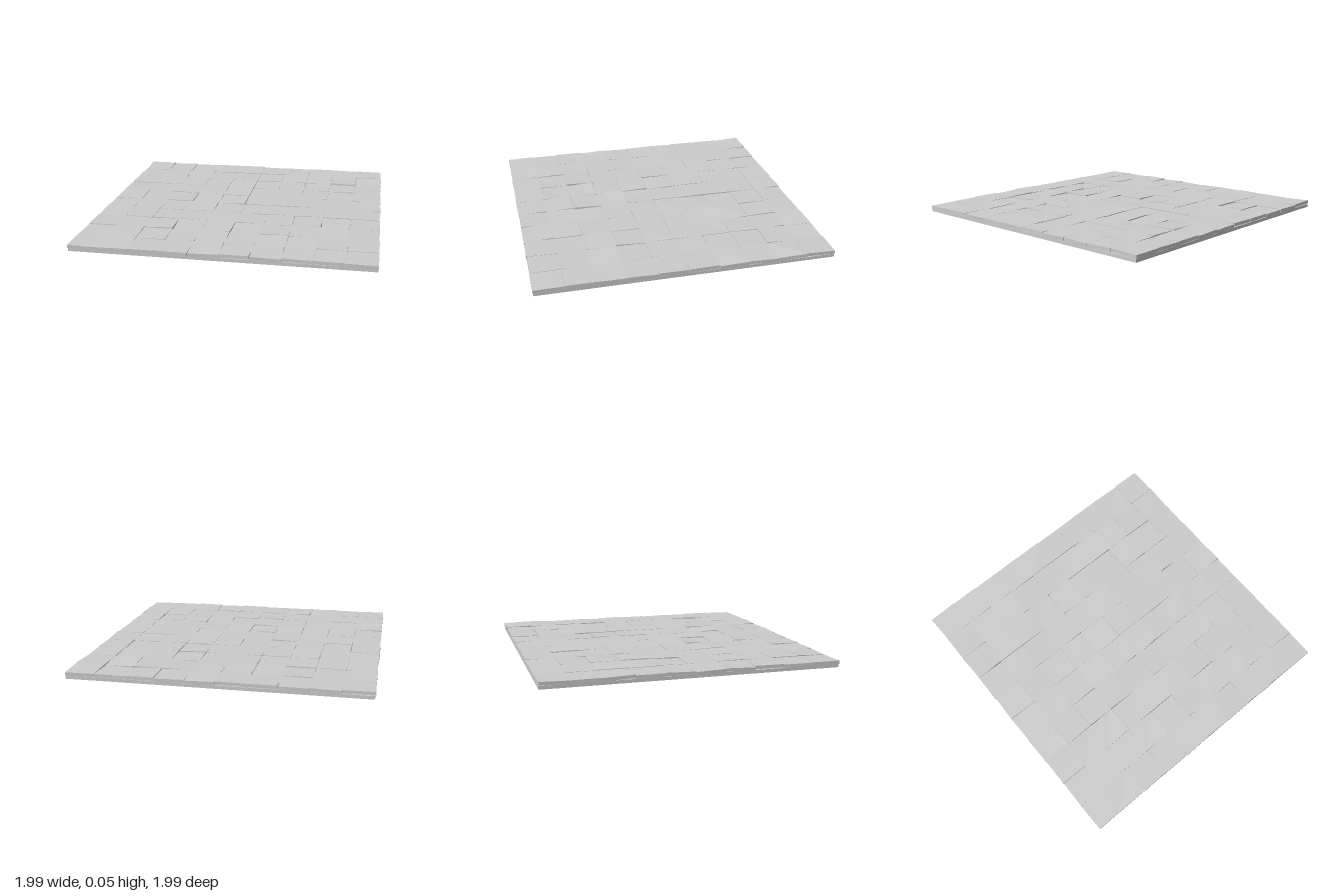
import * as THREE from 'three';

const COUNT = 10, PITCH = 0.198;

// Small seeded generator returning values in -1..1
function makeRandom(seed) {
  let s = seed;
  return () => {
    s = (s * 16807) % 2147483647;
    return (s / 2147483647) * 2 - 1;
  };
}

// Thin stone slab whose four corners are shifted and lifted unevenly
function makeTile(rand) {
  const box = new THREE.BoxGeometry(PITCH, 0.022, PITCH);
  const corners = Array.from({ length: 4 }, () => [rand() * 0.003, rand() * 0.003, rand() * 0.003]);
  const p = box.attributes.position;
  for (let i = 0; i < p.count; i++) {
    const x = p.getX(i), y = p.getY(i), z = p.getZ(i);
    const c = corners[(x > 0 ? 1 : 0) + (z > 0 ? 2 : 0)];
    p.setXYZ(i, x + c[0], y + c[1], z + c[2]);
  }
  const geometry = box.toNonIndexed();
  geometry.computeVertexNormals();
  return geometry;
}

export function createModel() {
  const model = new THREE.Group();
  model.name = 'stoneFloor';
  const material = new THREE.MeshStandardMaterial({ color: 0xcccccc, flatShading: true });
  const rand = makeRandom(4711);

  // Flat bed under the paving
  const bed = new THREE.Mesh(new THREE.BoxGeometry(1.975, 0.022, 1.975), material);
  bed.name = 'bed';
  bed.position.y = 0.011;
  model.add(bed);

  // Uneven square paving stones, each slightly tilted and turned
  const paving = new THREE.Group();
  paving.name = 'paving';
  for (let row = 0; row < COUNT; row++) {
    for (let col = 0; col < COUNT; col++) {
      const tile = new THREE.Mesh(makeTile(rand), material);
      tile.name = `tile_${row + 1}_${col + 1}`;
      tile.position.set(
        (col - (COUNT - 1) / 2) * PITCH,
        0.034 + rand() * 0.002,
        (row - (COUNT - 1) / 2) * PITCH
      );
      tile.rotation.set(rand() * 0.025, rand() * 0.025, rand() * 0.025);
      paving.add(tile);
    }
  }
  model.add(paving);
  return model;
}
